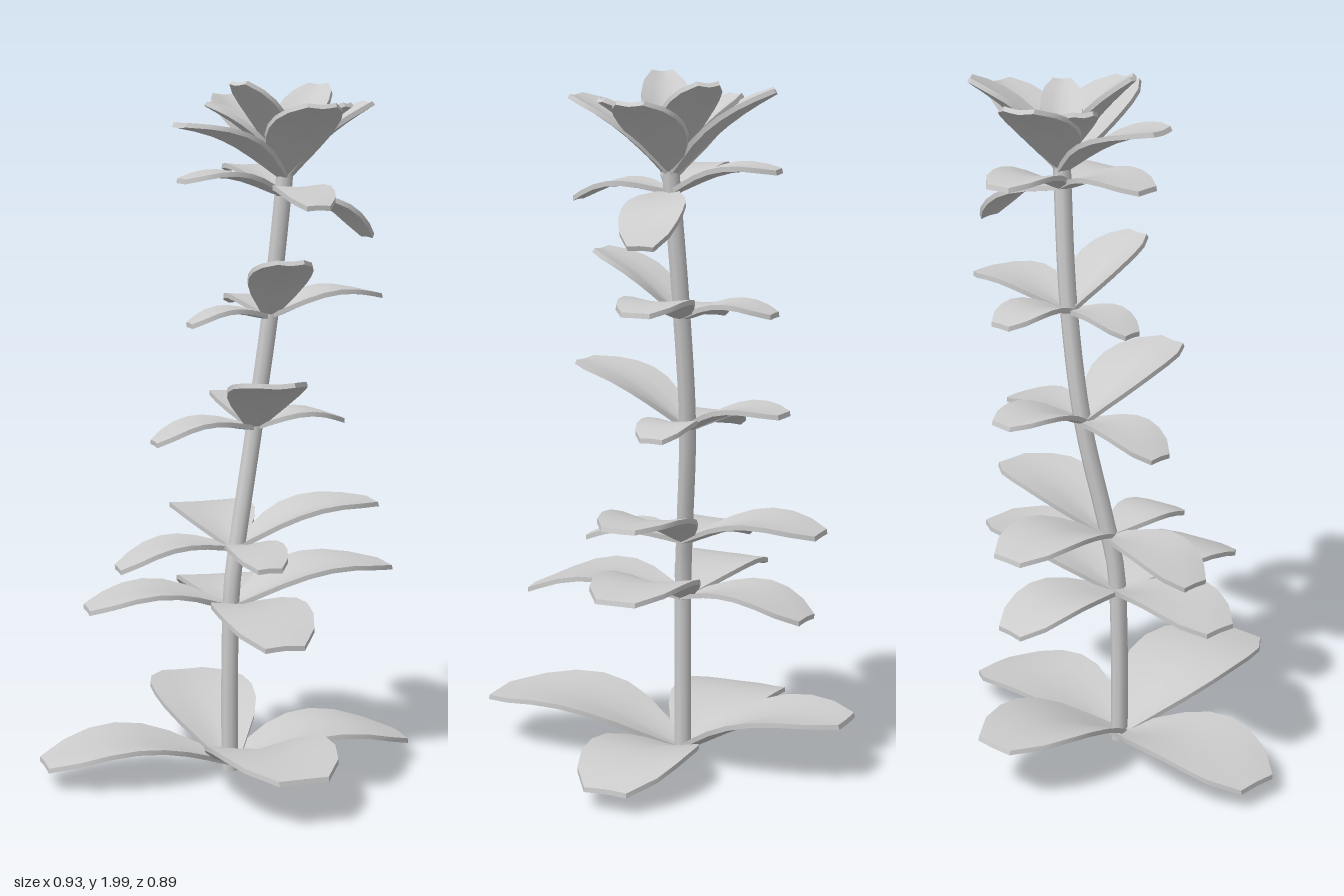
import * as THREE from 'three';

const V = (x, y, z) => new THREE.Vector3(x, y, z);
const material = new THREE.MeshStandardMaterial({ color: 0xcccccc });

// Stem centre line, from the ground to the crown
const stemPoints = [
  [-0.04, 0, -0.01], [-0.04, 0.3, -0.01], [-0.038, 0.55, -0.02], [-0.033, 0.7, -0.05],
  [-0.02, 1.0, -0.115], [0.012, 1.35, -0.155], [0.045, 1.7, -0.17], [0.048, 1.75, -0.172],
].map(p => V(...p));
const stemCurve = new THREE.CatmullRomCurve3(stemPoints);

// Point on the stem at a given height
function stemAt(y) {
  let i = 0;
  while (i < stemPoints.length - 2 && stemPoints[i + 1].y < y) i++;
  const a = stemPoints[i], b = stemPoints[i + 1];
  return a.clone().lerp(b, (y - a.y) / (b.y - a.y));
}

// Relative width of a leaf along its length: a blunt oval
const outline = [0.2, 0.48, 0.76, 0.94, 1, 0.96, 0.8, 0.42];

// Thin leaf: a subdivided slab bent between base and tip.
// Flat-lying leaves arch over, steep ones are cupped.
function makeLeaf(base, tip, ratio) {
  const rows = outline.length - 1;
  const geo = new THREE.BoxGeometry(2, 1, 1, 4, 1, rows);
  const dir = tip.clone().sub(base);
  const length = dir.length();
  dir.normalize();
  const side = V(0, 1, 0).cross(dir).normalize();
  const up = dir.clone().cross(side);
  const steep = Math.max(dir.y, 0);
  const pos = geo.attributes.position;
  for (let i = 0; i < pos.count; i++) {
    const s = pos.getX(i), t = pos.getZ(i) + 0.5;
    const w = outline[Math.round(t * rows)];
    const arch = 0.12 * (1 - steep) * Math.sin(Math.PI * t ** 1.2);
    const cup = (0.08 * (0.75 - t) + 0.1 * steep) * w * Math.abs(s) ** 1.3;
    const p = base.clone()
      .addScaledVector(dir, length * t)
      .addScaledVector(side, s * w * length * ratio / 2)
      .addScaledVector(up, length * (arch + cup) + pos.getY(i) * 0.014);
    pos.setXYZ(i, p.x, p.y, p.z);
  }
  geo.computeVertexNormals();
  return new THREE.Mesh(geo, material);
}

// Each whorl: node height, width ratio, leaf tips
// (front left, back right, front right, back left)
const whorls = [
  { name: 'baseWhorl', y: 0.02, ratio: 0.57,
    tips: [[0.42, 0.13, 0.36], [-0.42, 0.17, -0.35], [-0.415, 0.06, 0.39], [0.31, 0.06, -0.41]] },
  { name: 'secondWhorl', y: 0.48, ratio: 0.57,
    tips: [[0.32, 0.47, 0.29], [-0.31, 0.47, -0.31], [-0.34, 0.5, 0.28], [0.27, 0.58, -0.38]] },
  { name: 'thirdWhorl', y: 0.65, ratio: 0.57,
    tips: [[0.19, 0.645, 0.15], [-0.35, 0.71, -0.31], [-0.28, 0.61, 0.21], [0.25, 0.77, -0.34]] },
  { name: 'fourthWhorl', y: 0.995, ratio: 0.58,
    tips: [[0.21, 1.16, 0.14], [-0.23, 1.06, -0.33], [-0.22, 0.965, 0.11], [0.15, 1.01, -0.32]] },
  { name: 'fifthWhorl', y: 1.315, ratio: 0.57,
    tips: [[0.19, 1.49, 0.04], [-0.2, 1.34, -0.33], [-0.15, 1.3, 0.03], [0.22, 1.37, -0.41]] },
  { name: 'sixthWhorl', y: 1.665, ratio: 0.58,
    tips: [[0.26, 1.645, 0.01], [-0.21, 1.73, -0.33], [-0.15, 1.71, 0.07], [0.2, 1.545, -0.39]] },
  { name: 'outerCrown', y: 1.71, ratio: 0.57,
    tips: [[0.27, 1.92, 0.01], [-0.22, 1.94, -0.27], [-0.13, 1.865, 0.11], [0.22, 1.92, -0.36]] },
  // Innermost leaves point along the axes
  { name: 'innerCrown', y: 1.74, ratio: 0.44,
    tips: [[0.01, 1.98, 0.03], [0.02, 1.97, -0.42], [-0.17, 1.92, -0.1], [0.25, 1.92, -0.18]] },
];

export function createModel() {
  const group = new THREE.Group();
  group.name = 'plant';

  const stem = new THREE.Mesh(new THREE.TubeGeometry(stemCurve, 28, 0.025, 8), material);
  stem.name = 'stem';
  group.add(stem);

  // Discs closing both ends of the stem
  [[0, 1], [1, -1]].forEach(([u, flip]) => {
    const cap = new THREE.Mesh(new THREE.CircleGeometry(0.025, 8), material);
    cap.name = 'stemCap';
    cap.position.copy(stemCurve.getPoint(u));
    cap.rotation.x = flip * Math.PI / 2;
    group.add(cap);
  });

  for (const { name, y, ratio, tips } of whorls) {
    const whorl = new THREE.Group();
    whorl.name = name;
    for (const tip of tips) {
      const leaf = makeLeaf(stemAt(y), V(...tip), ratio);
      leaf.name = 'leaf';
      whorl.add(leaf);
    }
    group.add(whorl);
  }
  return group;
}
